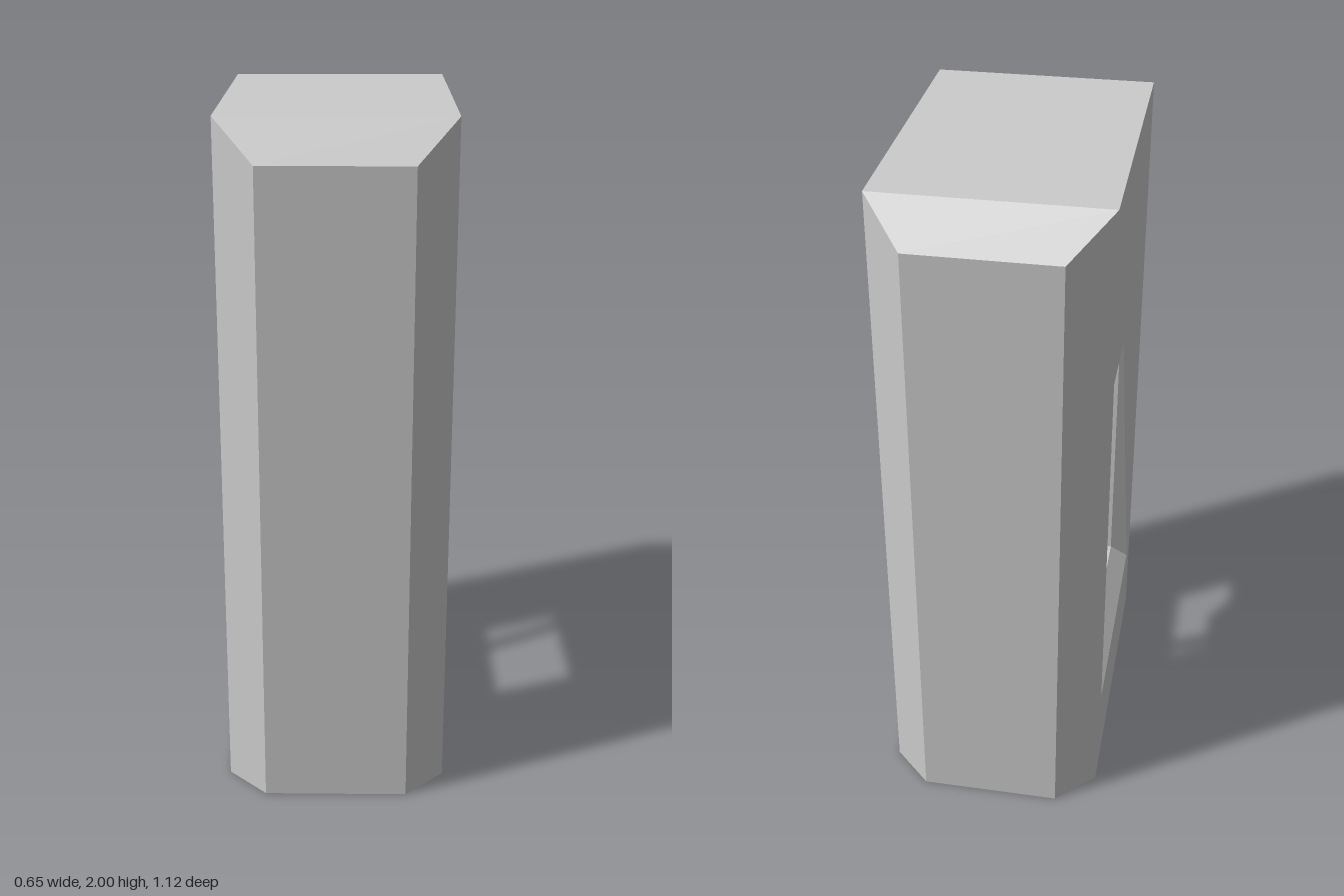
import * as THREE from 'three';

const material = new THREE.MeshStandardMaterial({ color: 0xcccccc, flatShading: true, side: THREE.DoubleSide });

function addMesh(parent, name, geometry) {
  const mesh = new THREE.Mesh(geometry, material);
  mesh.name = name;
  parent.add(mesh);
  return mesh;
}

// Geometry from four-cornered faces
function fromQuads(quads) {
  const pos = quads.flatMap(([a, b, c, d]) => [a, b, c, a, c, d].flat());
  const geometry = new THREE.BufferGeometry();
  geometry.setAttribute('position', new THREE.Float32BufferAttribute(pos, 3));
  geometry.computeVertexNormals();
  return geometry;
}

// Quads joining consecutive closed rings of equal length
function loft(rings) {
  const quads = [];
  for (let r = 0; r < rings.length - 1; r++) {
    const a = rings[r], b = rings[r + 1], n = a.length;
    for (let i = 0; i < n; i++) {
      const j = (i + 1) % n;
      quads.push([a[i], a[j], b[j], b[i]]);
    }
  }
  return quads;
}

// Rectangle ring at height y, anticlockwise seen from below the given top ring order
const rectRing = (y, hx, z0, z1) => [[hx, y, z0], [-hx, y, z0], [-hx, y, z1], [hx, y, z1]];

export function createModel() {
  const group = new THREE.Group();
  const X = 0.325, XF = 0.21, Z = 0.45, ZF = 0.56, TOP = 2, SHOULDER = 1.89;

  // Ends: flat front, slanted top edge and two slanted vertical corners, mirrored to the back
  const shell = [[[-X, TOP, Z], [X, TOP, Z], [X, TOP, -Z], [-X, TOP, -Z]]];
  for (const s of [1, -1]) {
    const p = (x, y, z) => [s * x, y, s * z];
    shell.push([p(-XF, 0, ZF), p(XF, 0, ZF), p(XF, SHOULDER, ZF), p(-XF, SHOULDER, ZF)]);
    shell.push([p(-XF, SHOULDER, ZF), p(XF, SHOULDER, ZF), p(X, TOP, Z), p(-X, TOP, Z)]);
    shell.push([p(XF, 0, ZF), p(X, 0, Z), p(X, TOP, Z), p(XF, SHOULDER, ZF)]);
    shell.push([p(-X, 0, Z), p(-XF, 0, ZF), p(-XF, SHOULDER, ZF), p(-X, TOP, Z)]);
  }
  addMesh(group, 'housingShell', fromQuads(shell));

  // Side walls with a slightly tapered window opening
  const outer = [[-0.365, 0.275], [0.365, 0.275], [0.39, 1.46], [-0.39, 1.46]];
  const inner = [[-0.335, 0.33], [0.335, 0.33], [0.335, 1.39], [-0.335, 1.39]];
  const wall = new THREE.Shape([[-Z, 0], [Z, 0], [Z, TOP], [-Z, TOP]].map(p => new THREE.Vector2(...p)));
  wall.holes.push(new THREE.Path([...outer, outer[0]].map(p => new THREE.Vector2(...p))));
  for (const s of [1, -1]) {
    const side = addMesh(group, s > 0 ? 'leftWall' : 'rightWall', new THREE.ShapeGeometry(wall));
    side.rotation.y = s * Math.PI / 2;
    side.position.x = s * X;
  }

  // Bevelled window frame on both sides, joined by a passage through the housing
  const ring = (pts, x) => pts.map(([z, y]) => [x, y, z]);
  addMesh(group, 'windowPassage', fromQuads(loft([
    ring(outer, -X), ring(inner, -0.27), ring(inner, 0.27), ring(outer, X),
  ])));

  // Small socket under the ceiling, narrowing at its lower end
  const socket = [rectRing(1.39, 0.135, 0.145, 0.31), rectRing(1.265, 0.135, 0.145, 0.31),
    rectRing(1.225, 0.09, 0.157, 0.297)];
  addMesh(group, 'frontSocket', fromQuads([...loft(socket), socket[2]]));

  // Full-width bracket against the rear of the passage
  const bracket = [rectRing(1.39, 0.27, -0.335, -0.115), rectRing(1.28, 0.27, -0.335, -0.18),
    rectRing(1.245, 0.225, -0.335, -0.19)];
  addMesh(group, 'rearBracket', fromQuads([...loft(bracket), bracket[2]]));

  // Hanging cable
  const path = [[1.22, 0.25], [0.94, 0.242], [0.785, 0.238], [0.57, 0.22], [0.48, 0.2], [0.41, 0.163],
    [0.375, 0.09], [0.385, 0.02], [0.44, -0.03], [0.53, -0.07], [0.73, -0.11], [0.92, -0.132],
    [1.1, -0.165], [1.18, -0.195], [1.255, -0.235]].map(([y, z]) => new THREE.Vector3(0, y, z));
  const curve = new THREE.CatmullRomCurve3(path);
  addMesh(group, 'cable', new THREE.TubeGeometry(curve, 28, 0.027, 8));

  // Collar near the rear end of the cable
  const collar = addMesh(group, 'cableCollar', new THREE.CylinderGeometry(0.036, 0.036, 0.014, 8));
  collar.position.set(0, 1.125, -0.172);
  collar.rotation.x = -0.33;

  return group;
}
